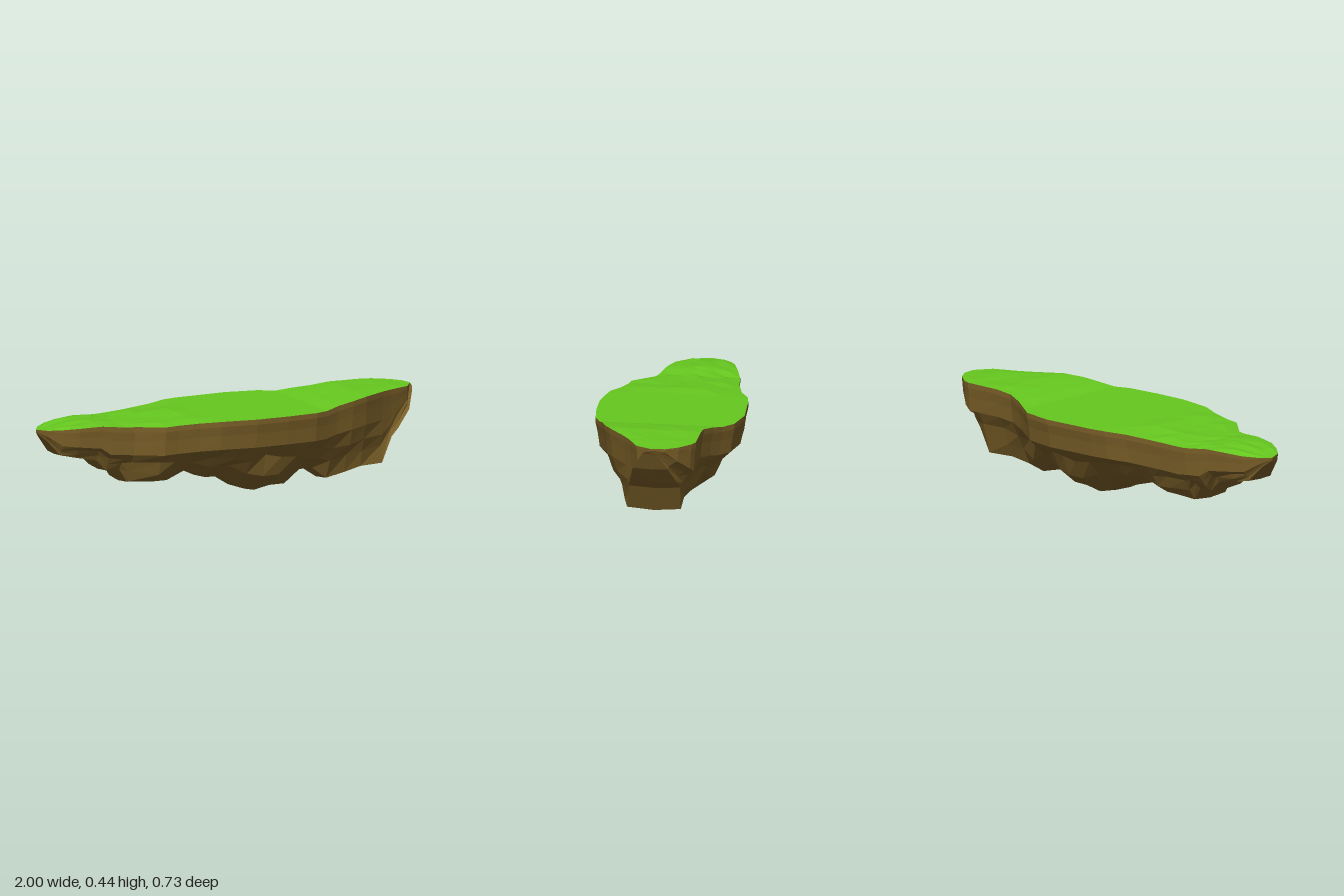
import * as THREE from 'three';

// Outline of the plateau and height profiles, as [x, value] points
const BACK = [[-1, -0.005], [-0.95, -0.09], [-0.84, -0.14], [-0.6, -0.21], [-0.5, -0.22], [-0.28, -0.275], [-0.15, -0.335],
  [0, -0.35], [0.17, -0.37], [0.33, -0.35], [0.43, -0.285], [0.56, -0.24], [0.86, -0.255], [0.95, -0.19], [0.99, -0.135], [1, -0.075]];
const FRONT = [[-1, 0.005], [-0.96, 0.09], [-0.84, 0.15], [-0.57, 0.195], [-0.45, 0.29], [-0.33, 0.295], [-0.17, 0.35],
  [0, 0.363], [0.17, 0.35], [0.33, 0.325], [0.45, 0.27], [0.55, 0.245], [0.69, 0.18], [0.8, 0.09], [0.95, 0.015], [0.99, -0.05], [1, -0.07]];
const TOP = [[-1, 0.368], [-0.76, 0.392], [-0.6, 0.378], [-0.45, 0.384], [-0.17, 0.4], [0.4, 0.4], [0.5, 0.42], [0.65, 0.435], [1, 0.433]];
const BOTTOM = [[-1, 0.352], [-0.97, 0.32], [-0.91, 0.245], [-0.73, 0.208], [-0.68, 0.155], [-0.61, 0.155], [-0.57, 0.09],
  [-0.38, 0.09], [-0.28, 0.135], [-0.2, 0.09], [-0.09, 0.088], [0, 0.03], [0.09, 0], [0.17, 0.018], [0.25, 0.02], [0.33, 0.085],
  [0.4, 0.085], [0.47, 0.03], [0.65, 0.075], [0.78, 0.075], [0.84, 0.2], [0.94, 0.29], [0.96, 0.35], [0.99, 0.405], [1, 0.42]];
// Width of the flat underside relative to the rim
const KEEL = [[-1, 0.7], [-0.6, 0.5], [-0.3, 0.42], [0.09, 0.3], [0.4, 0.36], [0.65, 0.6], [0.8, 0.75], [1, 0.85]];

const STATIONS = [-1, -0.97, -0.91, -0.84, -0.73, -0.68, -0.61, -0.57, -0.45, -0.38, -0.28, -0.18, -0.09, 0, 0.09, 0.17, 0.25,
  0.33, 0.4, 0.47, 0.56, 0.65, 0.78, 0.84, 0.88, 0.95, 0.99, 1];

function sample(table, x) {
  let i = 1;
  while (i < table.length - 1 && table[i][0] < x) i++;
  const [x0, a] = table[i - 1], [x1, b] = table[i];
  return THREE.MathUtils.lerp(a, b, THREE.MathUtils.clamp((x - x0) / (x1 - x0), 0, 1));
}

// Repeatable variation between -1 and 1
function noise(a, b) {
  const s = Math.sin(a * 127.1 + b * 311.7) * 43758.5453;
  return (s - Math.floor(s)) * 2 - 1;
}

function station(x) {
  return { x, back: sample(BACK, x), front: sample(FRONT, x), top: sample(TOP, x), bottom: sample(BOTTOM, x), keel: sample(KEEL, x) };
}

// Rock section: front rim, down the cliff, across the underside, up to the back rim
function rockSection(x, i) {
  const s = station(x), depth = s.top - s.bottom;
  const ridge = s.top - Math.min(0.14, depth * 0.6);
  const mid = (s.front + s.back) / 2;
  const keelMid = mid * 0.6 + 0.015 * (1 - Math.abs(x));
  const side = (rim, sign) => {
    const half = Math.abs(rim - mid);
    const below = (f, w, k) => {
      const wobble = noise(i, k * sign);
      return [x, THREE.MathUtils.lerp(ridge, s.bottom, f + wobble * 0.07),
        THREE.MathUtils.lerp(mid, keelMid, f) + sign * half * (THREE.MathUtils.lerp(w, 1, (s.keel - 0.3) * 0.8) + wobble * 0.035)];
    };
    return [
      [x, s.top, rim],
      [x, s.top - Math.min(0.025, depth * 0.12), rim],
      [x, THREE.MathUtils.lerp(s.top, ridge, 0.5), mid + sign * half * 0.97],
      [x, ridge, mid + sign * half * 0.94],
      below(0.28, 0.74, 3),
      below(0.62, 0.6, 5),
      [x, s.bottom + depth * 0.03, keelMid + sign * half * s.keel],
    ];
  };
  return [...side(s.front, 1), [x, s.bottom, keelMid], ...side(s.back, -1).reverse()];
}

// Grass section: back rim to front rim, with low mounds towards the ends
function grassSection(x, i) {
  const s = station(x), steps = 6, row = [];
  const mound = x < -0.2 && x > -0.92 ? 0.009 : x > 0.45 && x < 0.9 ? 0.004 : 0;
  for (let j = 0; j <= steps; j++) {
    const inner = j > 0 && j < steps;
    const lift = inner ? mound * (0.7 + 0.6 * noise(i, j + 20)) : 0;
    row.push([x, s.top + lift, THREE.MathUtils.lerp(s.back, s.front, j / steps)]);
  }
  return row;
}

// Skin a list of equal-length sections
function loft(sections, capEnds) {
  const n = sections[0].length, position = sections.flat(2), index = [];
  for (let i = 0; i < sections.length - 1; i++) {
    for (let j = 0; j < n - 1; j++) {
      const a = i * n + j, b = a + n;
      index.push(a, a + 1, b, b, a + 1, b + 1);
    }
  }
  if (capEnds) {
    const last = (sections.length - 1) * n;
    for (let j = 1; j < n - 1; j++) index.push(0, j + 1, j, last, last + j, last + j + 1);
  }
  const geometry = new THREE.BufferGeometry();
  geometry.setAttribute('position', new THREE.Float32BufferAttribute(position, 3));
  geometry.setIndex(index);
  const flat = geometry.toNonIndexed();
  flat.computeVertexNormals();
  return flat;
}

function part(name, geometry, color) {
  const mesh = new THREE.Mesh(geometry, new THREE.MeshStandardMaterial({ color, flatShading: true }));
  mesh.name = name;
  return mesh;
}

export function createModel() {
  const island = new THREE.Group();
  island.name = 'floatingIsland';
  island.add(part('rockBase', loft(STATIONS.map(rockSection), true), 0x7a5f28));
  island.add(part('grassTop', loft(STATIONS.map(grassSection), false), 0x66c81f));
  return island;
}
